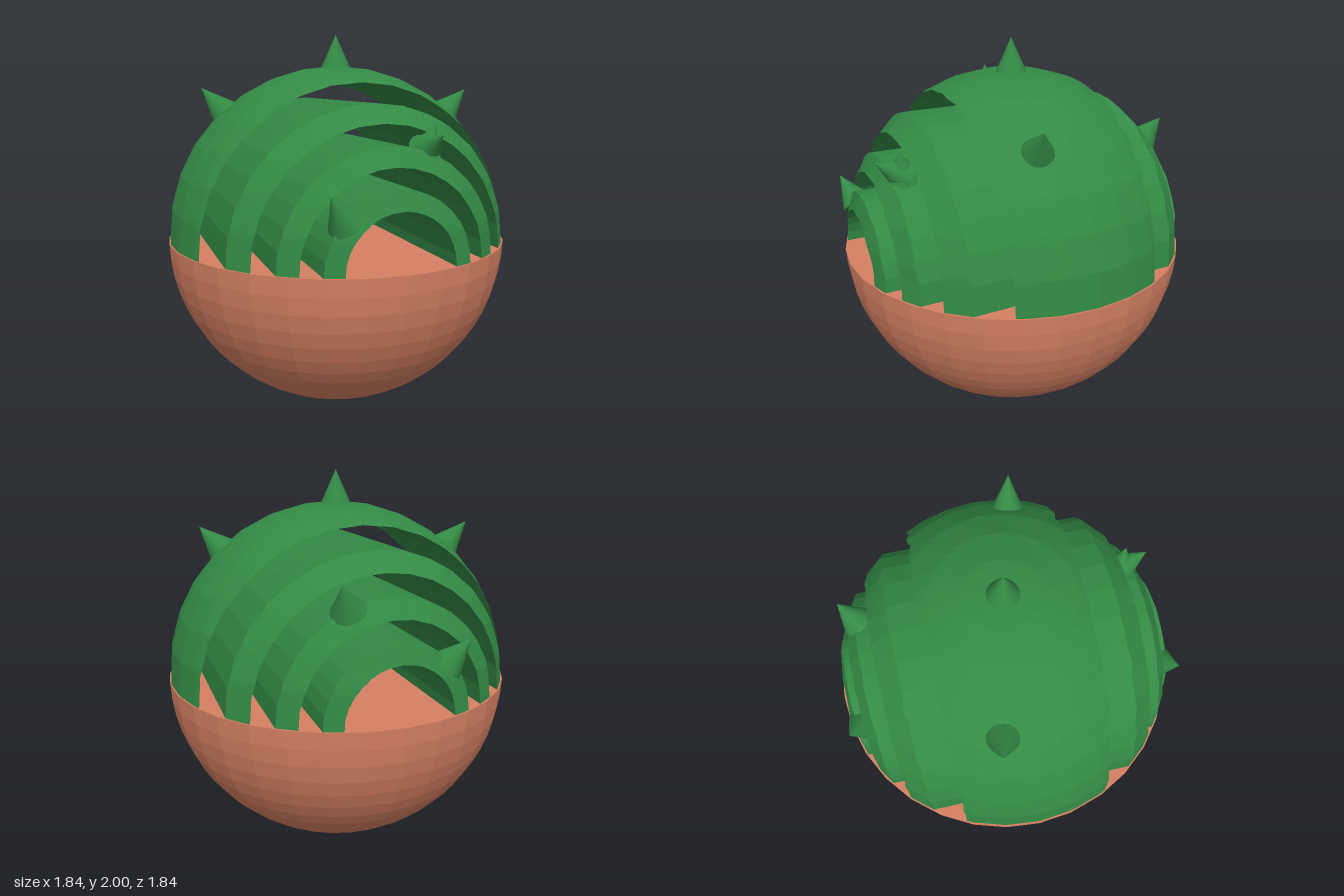
import * as THREE from 'three';

const R = 0.915;            // radius of the green dome
const CENTRE = 0.922;       // height of the rim
const HALF = Math.PI / 32;  // half of one facet's angle

const green = new THREE.MeshStandardMaterial({ color: 0x338a45, flatShading: true, side: THREE.DoubleSide });
const spikeGreen = new THREE.MeshStandardMaterial({ color: 0x338a45 });
const clay = new THREE.MeshStandardMaterial({ color: 0xd58062, flatShading: true });

// Size of the 32-sided polygon that passes through a point of the plane
function polygonRadius(u, v) {
  const a = Math.atan2(v, u);
  const off = a - (Math.floor(a / (2 * HALF)) + 0.5) * 2 * HALF;
  return Math.hypot(u, v) * Math.cos(off) / Math.cos(HALF);
}

// Size of the faceted sphere that passes through a point
const sphereRadius = (x, y, z) => polygonRadius(polygonRadius(x, z), y);

// Largest value in 0..1 for which the growing function stays inside the dome
function reach(f) {
  let lo = 0, hi = 1;
  for (let i = 0; i < 30; i++) {
    const mid = (lo + hi) / 2;
    if (f(mid) < R) lo = mid; else hi = mid;
  }
  return lo;
}

// Arched shell between two radii, its ends trimmed to the faceted dome
function archGeometry(inner, outer) {
  const steps = 96, across = 24;
  const isDome = outer >= R;
  const sections = [];
  for (let i = 0; i <= steps; i++) {
    const a = Math.PI * i / steps, c = Math.cos(a), s = Math.sin(a);
    const k = 1 / polygonRadius(c, s);
    const depth = r => reach(z => sphereRadius(r * c, r * s, z));
    const ri = inner * k, zi = depth(ri);
    const loop = [[ri, -zi], [ri, zi]];
    if (isDome) {
      for (let j = 1; j < across; j++) {
        const z = zi * (1 - 2 * j / across);
        loop.push([reach(r => sphereRadius(r * c, r * s, z)), z]);
      }
    } else {
      const ro = outer * k, zo = depth(ro);
      loop.push([ro, zo], [ro, -zo]);
    }
    sections.push(loop.map(([r, z]) => [r * c, r * s, z]));
  }
  const n = sections[0].length, index = [];
  for (let i = 0; i < steps; i++) {
    for (let j = 0; j < n; j++) {
      const p = i * n + j, q = i * n + (j + 1) % n;
      index.push(p, q, p + n, q, q + n, p + n);
    }
  }
  const g = new THREE.BufferGeometry();
  g.setAttribute('position', new THREE.Float32BufferAttribute(sections.flat(2), 3));
  g.setIndex(index);
  g.computeVertexNormals();
  return g;
}

// Cone from a base centre to a tip
function makeSpike(base, tip) {
  const b = new THREE.Vector3(...base), t = new THREE.Vector3(...tip);
  const axis = t.clone().sub(b), length = axis.length();
  const mesh = new THREE.Mesh(new THREE.ConeGeometry(0.085, length, 20), spikeGreen);
  mesh.position.copy(b).add(t).multiplyScalar(0.5);
  mesh.quaternion.setFromUnitVectors(new THREE.Vector3(0, 1, 0), axis.normalize());
  mesh.name = 'spike';
  return mesh;
}

export function createModel() {
  const model = new THREE.Group();
  model.name = 'archedCactusInBowl';
  const add = (name, geometry, material) => {
    const mesh = new THREE.Mesh(geometry, material);
    mesh.name = name;
    mesh.position.y = CENTRE;
    model.add(mesh);
    return mesh;
  };

  // Solid half-round bowl with a flat top
  add('bowl', new THREE.SphereGeometry(CENTRE, 32, 16, 0, Math.PI * 2, Math.PI / 2, Math.PI / 2), clay);
  add('bowlTop', new THREE.CircleGeometry(CENTRE, 32).rotateX(-Math.PI / 2), clay);

  // Nested arches
  [[0.83, R], [0.645, 0.735], [0.46, 0.55], [0.275, 0.365]].forEach(([inner, outer], i) =>
    add('arch' + (i + 1), archGeometry(inner, outer), green));

  // Spikes standing straight out of the dome
  const spikes = new THREE.Group();
  spikes.name = 'spikes';
  for (const tip of [[0, 1.078, 0], [-0.70, 0.80, -0.155], [0.695, 0.79, 0.18]]) {
    const base = new THREE.Vector3(...tip).setLength(0.892).toArray();
    spikes.add(makeSpike(base, tip));
  }
  // Leaning spikes on the front and back of the inner arches
  spikes.add(makeSpike([0.20, 0.515, 0.66], [0.22, 0.60, 0.80]));
  spikes.add(makeSpike([0.20, 0.50, 0.66], [0.24, 0.645, 0.69]));
  spikes.add(makeSpike([0.20, 0.50, -0.71], [0.255, 0.63, -0.78]));
  for (const side of [1, -1]) {
    spikes.add(makeSpike([-0.25, 0.225, 0.80 * side], [-0.34, 0.36, 0.86 * side]));
  }
  spikes.position.y = CENTRE;
  model.add(spikes);
  return model;
}
